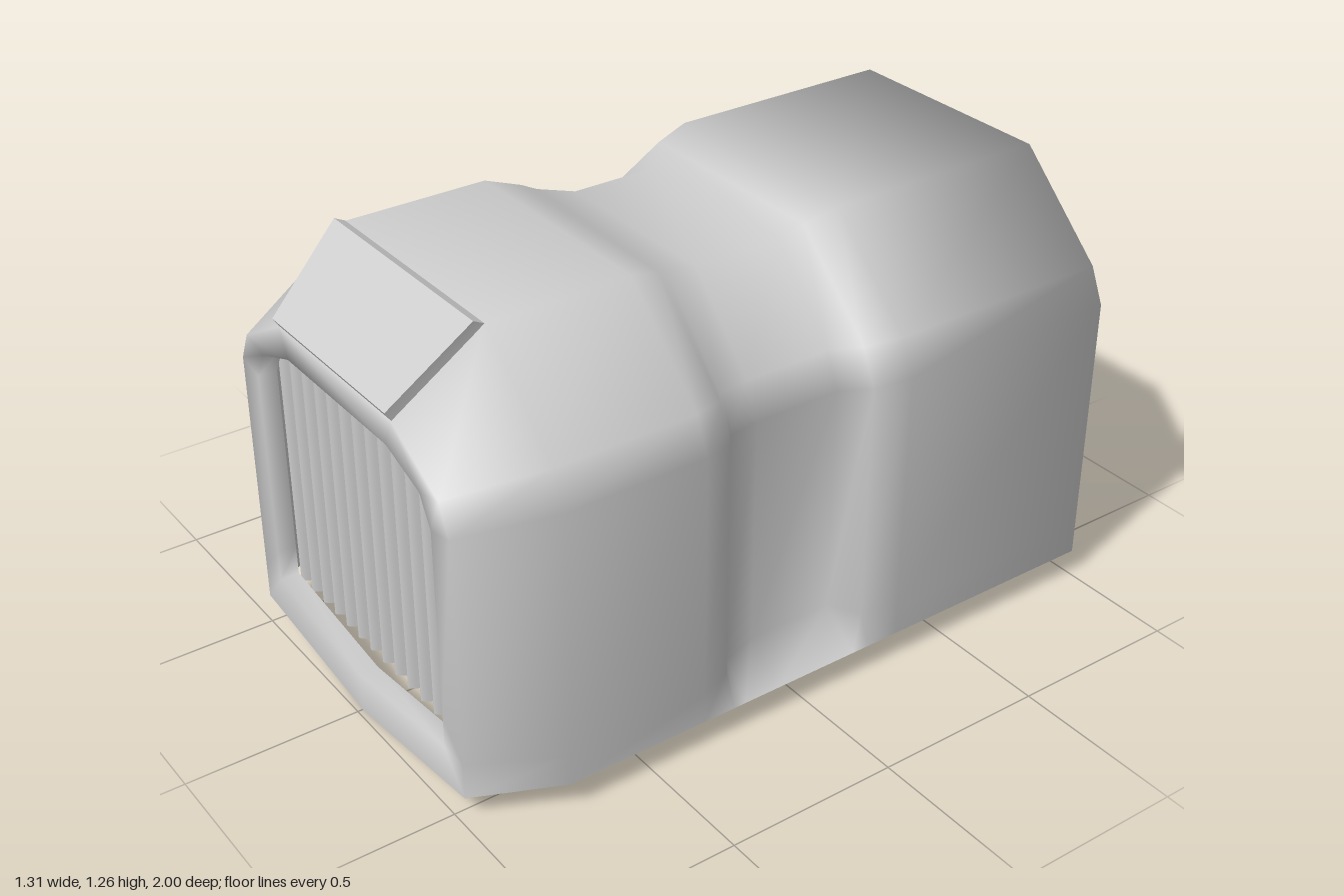
import * as THREE from 'three';

const grey = () => new THREE.MeshStandardMaterial({ color: 0xcccccc, side: THREE.DoubleSide });

// Cross-section of the shell: half-width w, roof height top, flared out again at the foot
const section = (z, w, top) => {
  const drop = (1.25 - top) * 0.6;
  return { z, half: [[0.655, 0.08], [w, 0.17], [w, 0.89 - drop], [w - 0.045, 0.99 - drop], [0.335 * w / 0.655, top]], chin: 0 };
};

function hoodGeometry() {
  const opening = [[0.442, 0.17], [0.443, 0.26], [0.445, 0.82], [0.4, 0.905], [0.25, 0.96]];
  const rings = [
    // body, from the back to the front
    section(-1, 0.655, 1.25), section(-0.32, 0.655, 1.25), section(-0.22, 0.62, 1.225),
    section(-0.17, 0.535, 1.175), section(0.09, 0.535, 1.175), section(0.2, 0.57, 1.205),
    section(0.235, 0.615, 1.218), section(0.335, 0.655, 1.25), section(0.75, 0.655, 1.25),
    // front rim, opening, and its short inner wall
    { z: 0.985, half: [[0.53, 0.065], [0.53, 0.17], [0.53, 0.84], [0.49, 0.925], [0.285, 1.04]], chin: 0 },
    { z: 0.985, half: opening, chin: 0.118 },
    { z: 0.93, half: opening, chin: 0.118 },
  ];
  const n = 11, chin = 10, pos = [], idx = [];
  for (const { z, half, chin: y } of rings) {
    for (const [px, py] of half) pos.push(px, py, z);
    for (const [px, py] of [...half].reverse()) pos.push(-px, py, z);
    pos.push(0, y, z);
  }
  const firstClosed = rings.length - 3;
  for (let j = 0; j < rings.length - 1; j++) {
    const segments = j >= firstClosed ? n : n - 2; // the body stays open below
    for (let i = 0; i < segments; i++) {
      const k = (i + 1) % n, a = j * n + i, b = j * n + k;
      idx.push(a, b, a + n, b, b + n, a + n);
    }
  }
  // back wall
  for (let i = 0; i < chin - 1; i++) idx.push(i + 1, i, chin);
  const g = new THREE.BufferGeometry();
  g.setAttribute('position', new THREE.Float32BufferAttribute(pos, 3));
  g.setIndex(idx);
  g.computeVertexNormals();
  return g;
}

// Vertical sheet pressed into rounded ridges
function grilleGeometry() {
  const pitch = 0.066, ridges = 14, steps = 8;
  const g = new THREE.PlaneGeometry(pitch * ridges, 0.815, ridges * steps, 1);
  g.translate(0, 0.5625, 0);
  const p = g.attributes.position;
  for (let i = 0; i < p.count; i++) {
    p.setZ(i, 0.88 + 0.05 * Math.abs(Math.sin(Math.PI * p.getX(i) / pitch)));
  }
  g.computeVertexNormals();
  return g;
}

// Sloping plate: a box whose corners are moved onto the nose
function plateGeometry() {
  const g = new THREE.BoxGeometry(2, 2, 2);
  const p = g.attributes.position;
  for (let i = 0; i < p.count; i++) {
    const upper = p.getY(i) > 0, outer = p.getZ(i) > 0;
    const [y, z] = upper ? (outer ? [1.265, 0.78] : [1.25, 0.75]) : (outer ? [1.068, 1] : [1.037, 0.98]);
    p.setXYZ(i, p.getX(i) * (upper ? 0.337 : 0.285), y, z);
  }
  g.computeVertexNormals();
  return g;
}

export function createModel() {
  const model = new THREE.Group();
  model.name = 'hoodModel';
  const add = (name, geometry) => {
    const mesh = new THREE.Mesh(geometry, grey());
    mesh.name = name;
    model.add(mesh);
  };
  add('hoodShell', hoodGeometry());
  add('grille', grilleGeometry());
  add('nosePlate', plateGeometry());
  return model;
}
